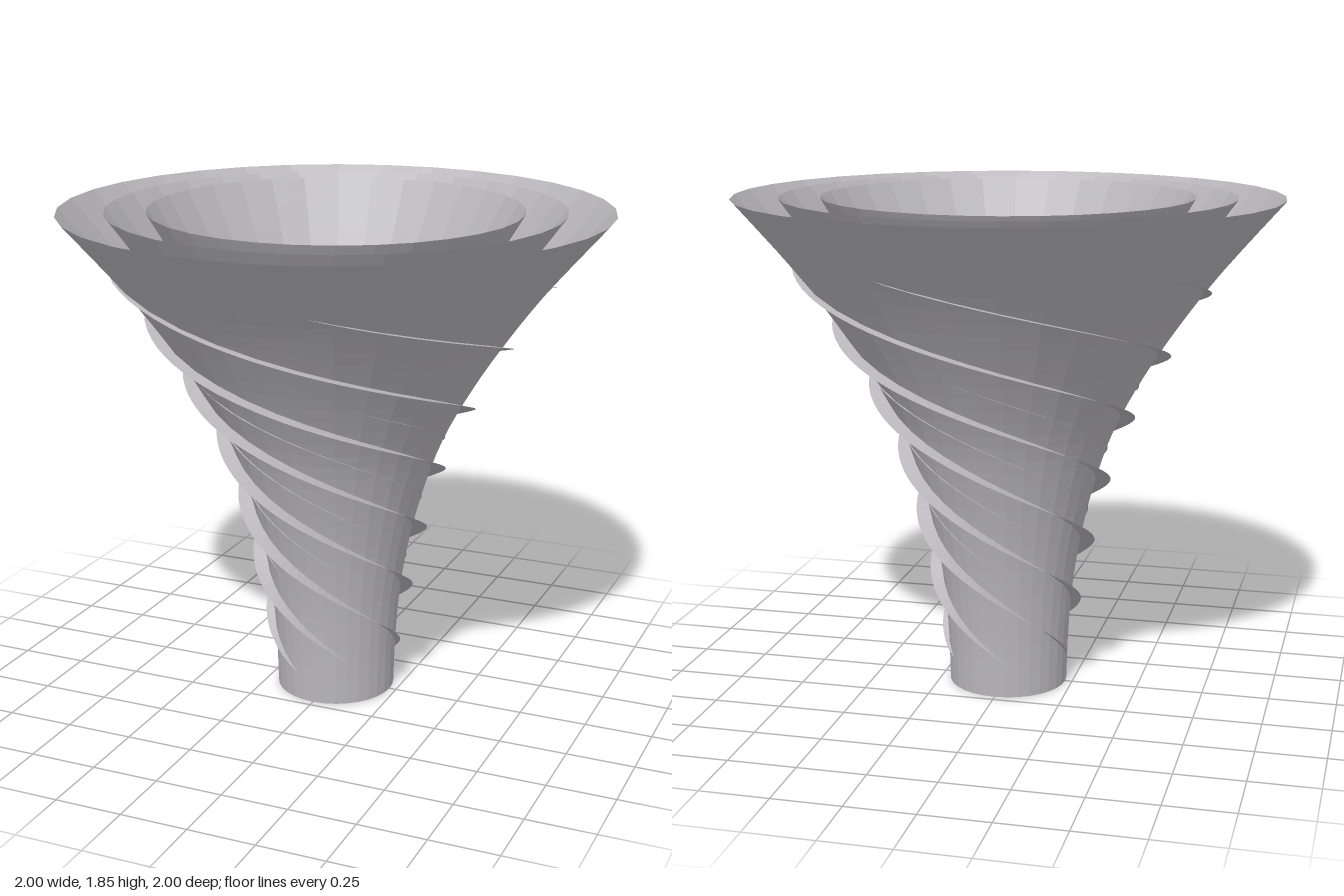
import * as THREE from 'three';

// Flared profile of the outer shell: radius, height
const PROFILE = new THREE.SplineCurve([
  [0.223, 0], [0.23, 0.2], [0.247, 0.4], [0.28, 0.6], [0.33, 0.8], [0.4, 1.0],
  [0.505, 1.2], [0.635, 1.4], [0.785, 1.6], [1.0, 1.85],
].map(([r, y]) => new THREE.Vector2(r, y))).getPoints(36);

const PITCH = 1.17; // climb of a fin per full turn
const FINS = 5;

// Shell radius at a height
function radiusAt(y) {
  let i = 1;
  while (i < PROFILE.length - 1 && PROFILE[i].y < y) i++;
  const a = PROFILE[i - 1], b = PROFILE[i];
  return a.x + (b.x - a.x) * (y - a.y) / (b.y - a.y);
}

// Nested funnel wall, open at both ends
function shell(scale, material) {
  const points = PROFILE.map(p => new THREE.Vector2(p.x * scale, p.y));
  return new THREE.Mesh(new THREE.LatheGeometry(points, 32), material);
}

// Helical ribbon between an inner and an outer edge, pointed at both ends
function fin({ from, to, phase, inner, outer }, turn, material) {
  const steps = 90, pos = [], index = [];
  for (let i = 0; i <= steps; i++) {
    const t = i / steps, y = from + (to - from) * t;
    const angle = phase + turn + (y - 1.63) / PITCH * Math.PI * 2;
    const taper = Math.min(1, Math.pow(Math.sin(Math.PI * t), 0.6) * 1.15);
    for (const r of [inner(y, taper), outer(y, taper)])
      pos.push(Math.cos(angle) * r, y, Math.sin(angle) * r);
    if (i < steps) {
      const k = i * 2;
      index.push(k, k + 2, k + 1, k + 1, k + 2, k + 3);
    }
  }
  const geometry = new THREE.BufferGeometry();
  geometry.setAttribute('position', new THREE.Float32BufferAttribute(pos, 3));
  geometry.setIndex(index);
  geometry.computeVertexNormals();
  return new THREE.Mesh(geometry, material);
}

export function createModel() {
  const model = new THREE.Group();
  model.name = 'spiralFunnel';
  const grey = new THREE.MeshStandardMaterial({ color: 0xb8b6bb, side: THREE.DoubleSide, flatShading: true });
  grey.name = 'paleGrey';

  // Three nested walls, each with its own set of fins
  const MID = 0.83, IN = 0.68;
  const layers = [
    { name: 'outer', scale: 1, fins: {
      from: 0.11, to: 1.64, phase: 1.24,
      inner: (y, k) => radiusAt(y) - 0.015 * k,
      outer: (y, k) => radiusAt(y) + 0.055 * k } },
    { name: 'middle', scale: MID, fins: {
      from: 0.11, to: 1.62, phase: 1.24 + Math.PI / FINS,
      inner: y => radiusAt(y) * MID,
      outer: (y, k) => radiusAt(y) * (MID + (1.01 - MID) * k) } },
    { name: 'inner', scale: IN, fins: {
      from: 0.11, to: 1.47, phase: 1.24,
      inner: (y, k) => radiusAt(y) * IN - 0.027 * k,
      outer: (y, k) => radiusAt(y) * IN + 0.03 * k } },
  ];

  for (const layer of layers) {
    const wall = shell(layer.scale, grey);
    wall.name = layer.name + 'Wall';
    model.add(wall);
    const set = new THREE.Group();
    set.name = layer.name + 'Fins';
    for (let i = 0; i < FINS; i++) {
      const blade = fin(layer.fins, i * Math.PI * 2 / FINS, grey);
      blade.name = layer.name + 'Fin' + (i + 1);
      set.add(blade);
    }
    model.add(set);
  }
  return model;
}
